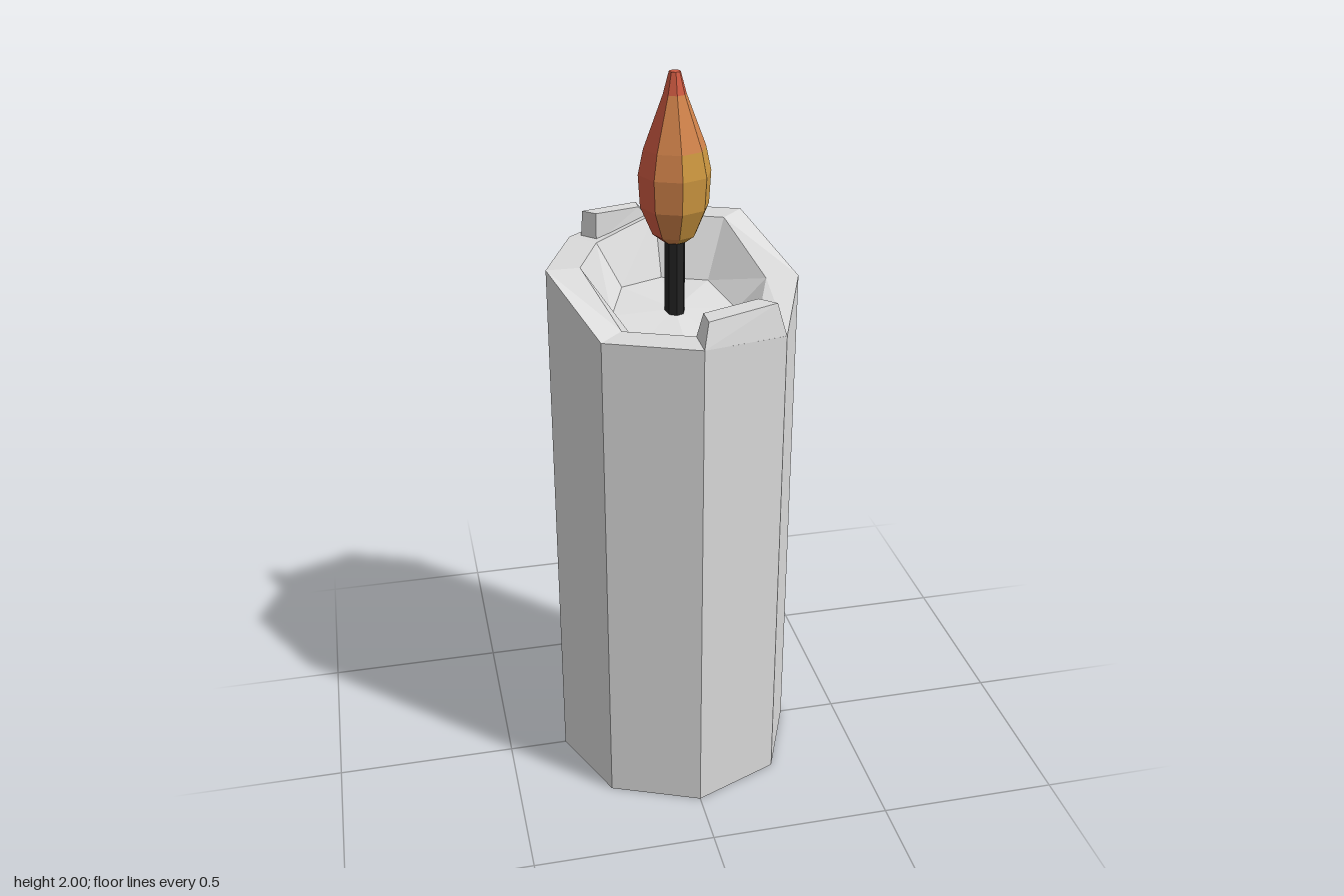
import * as THREE from 'three';

const SIDES = 8;

const paint = (name, color) => {
  const m = new THREE.MeshStandardMaterial({ color });
  m.name = name;
  return m;
};

// Octagonal ring; heights may be one number or one per corner (front, then towards +x)
function ring(r, heights) {
  return Array.from({ length: SIDES }, (_, k) => {
    const a = (k * Math.PI * 2) / SIDES;
    const y = Array.isArray(heights) ? heights[k] : heights;
    return new THREE.Vector3(r * Math.sin(a), y, r * Math.cos(a));
  });
}

// Single point repeated, used to close a loft
function cap(loop) {
  const c = new THREE.Vector3();
  loop.forEach((p) => c.add(p));
  c.divideScalar(loop.length);
  return loop.map(() => c.clone());
}

// Flat-shaded skin through loops; pick(band, side) returns a material index
function loft(loops, pick = () => 0) {
  const pos = [];
  const geo = new THREE.BufferGeometry();
  const tri = (a, b, c) => {
    if (a.distanceTo(b) < 1e-6 || b.distanceTo(c) < 1e-6 || a.distanceTo(c) < 1e-6) return;
    pos.push(...a.toArray(), ...b.toArray(), ...c.toArray());
  };
  for (let i = 0; i < loops.length - 1; i++) {
    const [lo, hi] = [loops[i], loops[i + 1]];
    for (let k = 0; k < lo.length; k++) {
      const n = (k + 1) % lo.length;
      const start = pos.length / 3;
      tri(lo[k], lo[n], hi[n]);
      tri(lo[k], hi[n], hi[k]);
      geo.addGroup(start, pos.length / 3 - start, pick(i, k));
    }
  }
  geo.setAttribute('position', new THREE.Float32BufferAttribute(pos, 3));
  geo.computeVertexNormals();
  return geo;
}

export function createModel() {
  const group = new THREE.Group();
  const wax = paint('wax', 0xdadada);
  const char = paint('wick black', 0x222222);
  const flame = [
    paint('flame gold', 0xcb963f),
    paint('flame orange', 0xd0824a),
    paint('flame red', 0xcf5a42),
  ];
  const add = (name, geo, material) => {
    const mesh = new THREE.Mesh(geo, material);
    mesh.name = name;
    group.add(mesh);
  };

  // Candle body with an uneven rim and a shallow melted bowl
  const rim = [1.4, 1.375, 1.44, 1.555, 1.555, 1.51, 1.51, 1.4];
  const pool = [1.32, 1.32, 1.36, 1.4, 1.4, 1.4, 1.37, 1.33];
  const base = ring(0.337, 0);
  add('candleBody', loft([
    cap(base), base, ring(0.337, rim), ring(0.248, rim), ring(0.168, pool), ring(0, 1.375),
  ]), [wax]);

  // Raised wax lumps on the rim, corners as [x, y, z]
  const lump = (name, bottom, top) => {
    const [lo, hi] = [bottom, top].map((c) => c.map((p) => new THREE.Vector3(...p)));
    add(name, loft([cap(lo), lo, hi, cap(hi)]), [wax]);
  };
  lump('frontWaxLump',
    [[0, 1.4, 0.337], [0.238, 1.375, 0.238], [0.175, 1.375, 0.175], [0, 1.4, 0.248]],
    [[0.015, 1.465, 0.315], [0.212, 1.465, 0.234], [0.173, 1.465, 0.195], [0.015, 1.465, 0.257]]);
  lump('backWaxLump',
    [[-0.172, 1.5, -0.196], [-0.016, 1.54, -0.26], [-0.016, 1.54, -0.313], [-0.208, 1.5, -0.233]],
    [[-0.17, 1.582, -0.201], [-0.044, 1.575, -0.254], [-0.044, 1.575, -0.297], [-0.202, 1.582, -0.232]]);

  // Wick
  const wick = [ring(0.027, 1.33), ring(0.027, 1.585)];
  add('wick', loft([cap(wick[0]), ...wick, cap(wick[1])]), [char]);

  // Flame: gold towards the front left, red towards the back right and the tip
  const profile = [
    [0.032, 1.565], [0.058, 1.585], [0.09, 1.66], [0.095, 1.745],
    [0.081, 1.81], [0.045, 1.905], [0.03, 1.945], [0.015, 2],
  ].map(([r, y]) => ring(r, y));
  const sideColour = [0, 0, 0, 1, 2, 2, 2, 1];
  add('flame', loft(
    [cap(profile[0]), ...profile, cap(profile[7])],
    (band, k) => {
      if (band >= 7) return 2;
      return band >= 5 ? Math.max(1, sideColour[k]) : sideColour[k];
    },
  ), flame);

  return group;
}
